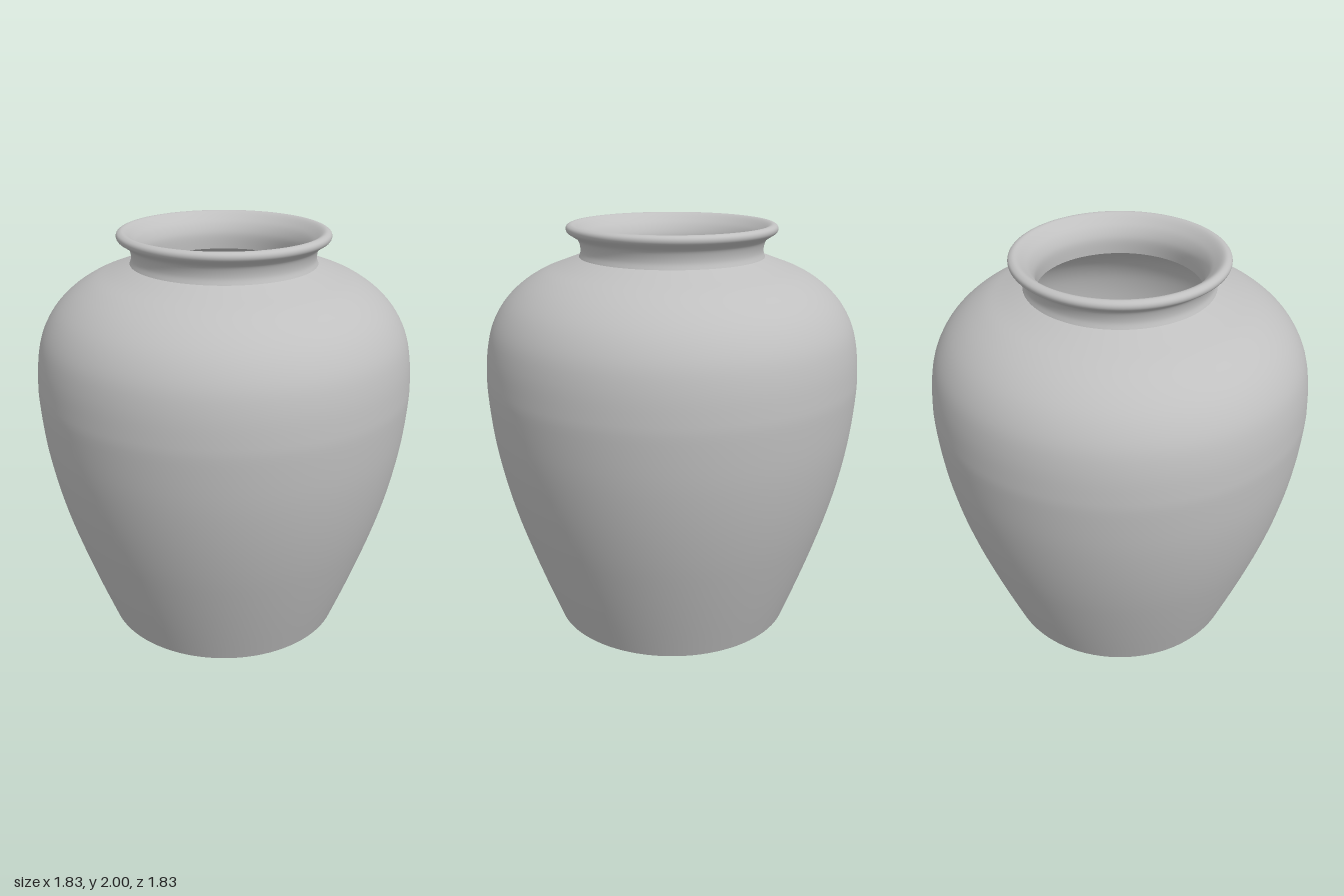
import * as THREE from 'three';

const SEGMENTS = 96;

// Smooth lathe through [radius, height] pairs; upward profiles face outward
function turned(name, pairs, samples, material) {
  const points = pairs.map(([r, y]) => new THREE.Vector2(r, y));
  const profile = samples ? new THREE.SplineCurve(points).getPoints(samples) : points;
  const mesh = new THREE.Mesh(new THREE.LatheGeometry(profile, SEGMENTS), material);
  mesh.name = name;
  return mesh;
}

export function createModel() {
  const jar = new THREE.Group();
  jar.name = 'jar';
  const clay = new THREE.MeshStandardMaterial({ color: 0xc0c0c0 });
  clay.name = 'grey clay';

  // Outer belly and shoulder, from foot to the crease under the neck
  const body = [
    [0.6, 0], [0.675, 0.2], [0.745, 0.4], [0.808, 0.6], [0.858, 0.8], [0.893, 1.0],
    [0.911, 1.2], [0.911, 1.3], [0.9, 1.42], [0.872, 1.53], [0.815, 1.63],
    [0.735, 1.71], [0.64, 1.77], [0.54, 1.81], [0.447, 1.845],
  ];
  // Waisted neck, rolled lip and the funnel inside the mouth
  const neck = [
    [0.447, 1.845], [0.439, 1.87], [0.441, 1.9], [0.452, 1.928], [0.478, 1.947],
    [0.5, 1.962], [0.506, 1.978], [0.5, 1.992], [0.482, 2.0], [0.462, 1.994],
    [0.435, 1.972], [0.41, 1.945], [0.392, 1.91], [0.386, 1.875], [0.388, 1.82],
  ];
  // Hollow inside, following the outer wall back down
  const inside = [
    [0.388, 1.82], [0.52, 1.763], [0.615, 1.722], [0.7, 1.67], [0.775, 1.6],
    [0.826, 1.51], [0.851, 1.41], [0.861, 1.3], [0.861, 1.2], [0.843, 1.0],
    [0.808, 0.8], [0.758, 0.6], [0.695, 0.4], [0.625, 0.2], [0.57, 0.05],
  ];

  jar.add(
    turned('base', [[0, 0], [0.6, 0]], 0, clay),
    turned('body', body, 56, clay),
    turned('neckAndLip', neck, 56, clay),
    turned('innerWall', inside, 48, clay),
    turned('innerFloor', [[0.57, 0.05], [0, 0.05]], 0, clay),
  );
  return jar;
}
